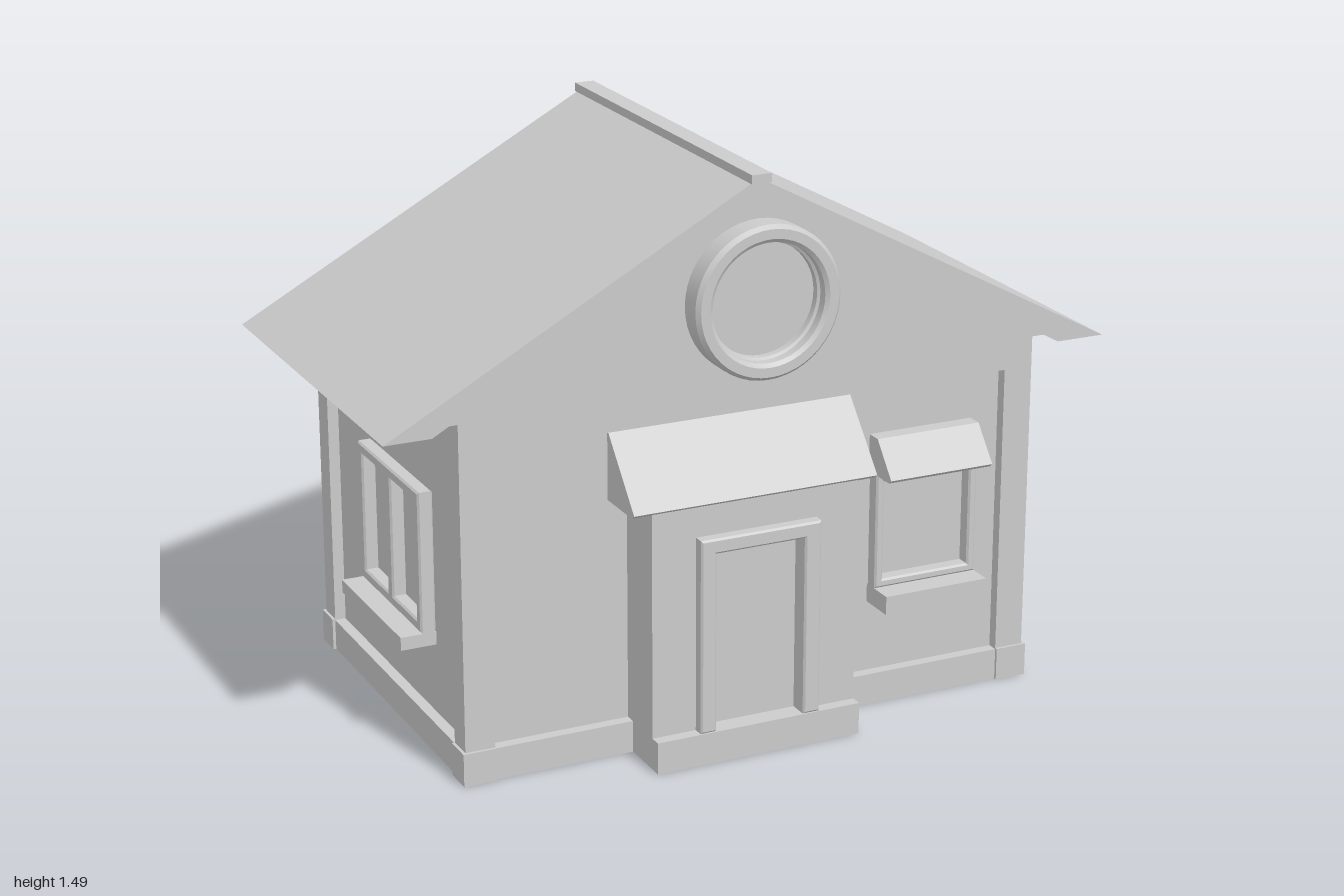
import * as THREE from 'three';
import { toCreasedNormals } from 'three/addons/utils/BufferGeometryUtils.js';

const material = new THREE.MeshStandardMaterial({ color: 0xcccccc });

export function createModel() {
  const house = new THREE.Group();
  house.name = 'house';

  function add(name, geometry, parent = house) {
    const mesh = new THREE.Mesh(geometry, material);
    mesh.name = name;
    parent.add(mesh);
    return mesh;
  }

  // Box given by its extents on each axis
  function box(name, [x0, x1], [y0, y1], [z0, z1], parent) {
    const g = new THREE.BoxGeometry(x1 - x0, y1 - y0, z1 - z0);
    g.translate((x0 + x1) / 2, (y0 + y1) / 2, (z0 + z1) / 2);
    return add(name, g, parent);
  }

  const polygon = (pts) => new THREE.Shape(pts.map(([x, y]) => new THREE.Vector2(x, y)));
  const rect = (x0, x1, y0, y1) => [[x0, y0], [x1, y0], [x1, y1], [x0, y1]];

  // Shape in the xy plane extruded from z0 to z1, with an optional small bevel
  function extrude(shape, z0, z1, bevel = 0) {
    const g = new THREE.ExtrudeGeometry(shape, {
      depth: z1 - z0 - 2 * bevel, bevelEnabled: bevel > 0, bevelThickness: bevel,
      bevelSize: bevel, bevelOffset: -bevel, bevelSegments: 1,
    });
    return g.translate(0, 0, z0 + bevel);
  }

  // Wall core with the raised framing that leaves sunken panels
  const X = [-0.802, 0.798], Z = [-0.573, 0.443];
  const inset = 0.03, postX = 0.08, postZ = 0.07, baseTop = 0.085, beamY = 0.87, wallTop = 0.95;
  box('wallPanels', [X[0] + inset, X[1] - inset], [baseTop, beamY], [Z[0] + inset, Z[1] - inset]);
  box('baseBand', X, [0, baseTop], Z);
  box('topBeam', X, [beamY, wallTop], Z);
  for (const sx of [0, 1]) for (const sz of [0, 1]) {
    const px = sx ? [X[1] - postX, X[1]] : [X[0], X[0] + postX];
    const pz = sz ? [Z[1] - postZ, Z[1]] : [Z[0], Z[0] + postZ];
    box('cornerPost', px, [baseTop, beamY], pz);
    const e = 0.008;
    box('cornerFoot', sx ? [px[0], px[1] + e] : [px[0] - e, px[1]], [0, baseTop + 0.003],
      sz ? [pz[0], pz[1] + e] : [pz[0] - e, pz[1]]);
  }

  // Roof, gable filling and ridge cap
  const ridgeX = -0.007;
  add('roof', extrude(polygon([
    [-1, 0.932], [-0.875, 0.932], [ridgeX, 1.415], [0.865, 0.932], [1, 0.932], [ridgeX, 1.472],
  ]), -0.59, 0.461));
  add('gable', extrude(polygon([[-0.843, 0.95], [0.832, 0.95], [ridgeX, 1.415]]), -0.59, 0.443));
  box('ridgeCap', [ridgeX - 0.027, ridgeX + 0.027], [1.462, 1.485], [-0.59, 0.474]);

  // Round gable window
  const ring = [[0.2, 0], [0.2, 0.062], [0.19, 0.074], [0.165, 0.074], [0.155, 0.066],
    [0.155, 0.04], [0.148, 0.036], [0.148, 0.016], [0, 0.016]];
  const round = new THREE.LatheGeometry(ring.map(([r, y]) => new THREE.Vector2(r, y)), 48);
  add('roundWindow', toCreasedNormals(round.rotateX(Math.PI / 2), 0.5)).position.set(0, 1.165, 0.44);

  // Porch with doorway, step, door and door frame
  const door = { x0: -0.182, x1: 0.064, top: 0.565 };
  const doorway = (x0, x1, y1) => polygon([
    [x0, baseTop], [door.x0, baseTop], [door.x0, door.top], [door.x1, door.top],
    [door.x1, baseTop], [x1, baseTop], [x1, y1], [x0, y1],
  ]);
  add('porch', extrude(doorway(-0.345, 0.225, 0.69), 0.41, 0.56));
  box('porchStep', [-0.345, 0.225], [0, baseTop], [0.41, 0.592]);
  add('doorFrame', extrude(doorway(-0.225, 0.11, 0.605), 0.55, 0.592, 0.005));
  box('door', [door.x0, door.x1], [baseTop, door.top], [0.42, 0.537]);

  // Awning: side profile as [z, y] points, run along x
  function awning(name, profile, x0, x1) {
    const g = extrude(polygon(profile.map(([z, y]) => [-z, y])), 0, x1 - x0);
    add(name, g.rotateY(Math.PI / 2).translate(x0, 0, 0));
  }
  awning('doorAwning', [[0.41, 0.872], [0.57, 0.692], [0.557, 0.682], [0.41, 0.682]], -0.397, 0.277);
  awning('windowAwning',
    [[0.41, 0.742], [0.455, 0.742], [0.53, 0.652], [0.518, 0.642], [0.41, 0.642]], 0.34, 0.637);

  // Window built facing +z with its back at z = 0: frame, pane and sill
  function makeWindow(name, w, h, border, depth, sillH, sillDepth, mullion) {
    const group = new THREE.Group();
    group.name = name;
    const shape = polygon(rect(-w / 2, w / 2, 0, h));
    const gaps = mullion
      ? [[border - w / 2, -mullion / 2], [mullion / 2, w / 2 - border]]
      : [[border - w / 2, w / 2 - border]];
    for (const [a, b] of gaps) shape.holes.push(polygon(rect(a, b, border, h - border)));
    add('windowFrame', extrude(shape, 0, depth, 0.005), group);
    box('windowPane', [0.01 - w / 2, w / 2 - 0.01], [0.01, h - 0.01], [-0.01, 0.004], group);
    box('windowSill', [-w / 2, w / 2], [-sillH, 0], [-0.005, sillDepth], group);
    house.add(group);
    return group;
  }
  makeWindow('frontWindow', 0.297, 0.315, 0.023, 0.043, 0.05, 0.105)
    .position.set(0.4885, 0.33, Z[1] - inset);
  const side = makeWindow('sideWindow', 0.43, 0.38, 0.03, 0.041, 0.035, 0.096, 0.035);
  side.rotation.y = -Math.PI / 2;
  side.position.set(X[0] + inset, 0.31, -0.03);

  return house;
}
